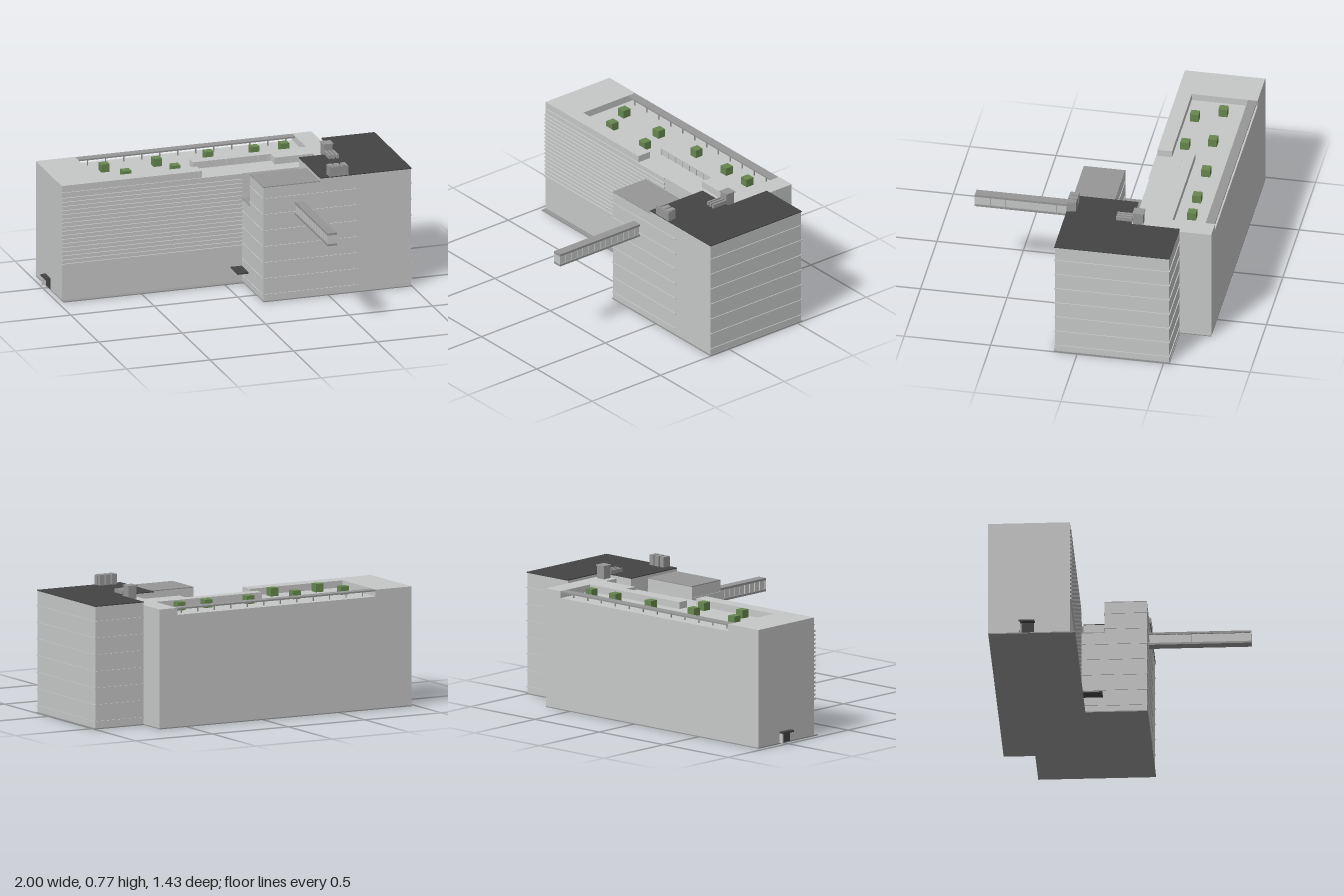
import * as THREE from 'three';

const mat = (name, color) => {
  const m = new THREE.MeshStandardMaterial({ color });
  m.name = name;
  return m;
};

export function createModel() {
  const light = mat('paleConcrete', 0xc6c8c7);
  const gray = mat('midGray', 0x979797);
  const dark = mat('darkRoofing', 0x444444);
  const green = mat('foliage', 0x67874f);
  const model = new THREE.Group();
  model.name = 'officeBuilding';

  // Box from its min and max corners
  const box = (name, m, x0, x1, y0, y1, z0, z1, parent = model) => {
    const mesh = new THREE.Mesh(new THREE.BoxGeometry(x1 - x0, y1 - y0, z1 - z0), m);
    mesh.position.set((x0 + x1) / 2, (y0 + y1) / 2, (z0 + z1) / 2);
    mesh.name = name;
    parent.add(mesh);
    return mesh;
  };
  const group = (name) => {
    const g = new THREE.Group();
    g.name = name;
    model.add(g);
    return g;
  };

  // Base plates
  const B = 0.006;
  box('slabBase', gray, -0.97, 0.68, 0, B, -0.715, -0.25);
  box('frontLedge', gray, -0.97, 0.11, 0, B, -0.25, -0.22);
  box('towerBase', gray, 0.11, 1, 0, B, -0.25, 0.135);
  box('rearTowerBase', gray, 0.68, 1, 0, B, -0.535, -0.25);

  // Long slab with a sunken roof terrace
  const F = 0.65, R = 0.69;
  box('slabBody', light, -0.97, 0.68, B, F, -0.715, -0.25);
  const rim = group('terraceRim');
  [
    [-0.97, -0.735, -0.715, -0.25],
    [-0.735, -0.13, -0.335, -0.25],
    [0.565, 0.68, -0.715, -0.25],
    [0.335, 0.565, -0.47, -0.34],
    [-0.13, 0.335, -0.47, -0.41],
  ].forEach(([x0, x1, z0, z1]) => box('rimBlock', light, x0, x1, F, R, z0, z1, rim));
  box('rearCanopy', gray, -0.735, 0.565, 0.68, R - 0.001, -0.713, -0.66);
  const posts = group('terracePosts');
  for (let i = 0; i < 12; i++) {
    const x = -0.68 + i * 0.108;
    box('canopyPost', gray, x, x + 0.006, F, 0.68, -0.668, -0.662, posts);
  }
  for (let i = 0; i < 8; i++) {
    const x = -0.125 + i * 0.064;
    if (x < 0.33) box('wallPost', light, x, x + 0.005, F, 0.685, -0.41, -0.405, posts);
  }

  // Planters on the terrace
  const planters = group('planters');
  [[-0.62, -0.54], [-0.305, -0.54], [0.01, -0.56], [0.285, -0.56], [0.465, -0.565],
    [-0.54, -0.39], [-0.245, -0.39]].forEach(([x, z]) =>
    box('planter', green, x - 0.025, x + 0.025, F, 0.697, z - 0.025, z + 0.025, planters));

  // Horizontal louvres on the slab front
  const louvres = group('louvres');
  for (let i = 0; i < 17; i++) {
    const y = 0.21 + i * 0.0247;
    box('louvre', light, -0.97, 0.11, y, y + 0.012, -0.25, -0.241, louvres);
  }
  box('frontBand', light, -0.97, 0.11, 0.645, 0.65, -0.25, -0.243);

  // Front tower: mid part, low link and dark-roofed part
  const T = 0.71;
  box('midTower', light, 0.11, 0.45, B, R - 0.005, -0.11, 0.13);
  box('midRoof', gray, 0.11, 0.45, R - 0.005, R, -0.11, 0.13);
  box('linkBody', light, 0.11, 0.45, B, 0.495, -0.25, -0.11);
  box('linkRoof', gray, 0.11, 0.45, 0.495, 0.5, -0.25, -0.11);
  box('tower', light, 0.45, 0.995, B, T - 0.005, -0.25, 0.13);
  box('towerRoof', dark, 0.45, 0.998, T - 0.005, T, -0.25, 0.133);
  box('rearTower', light, 0.68, 0.995, B, T - 0.005, -0.53, -0.25);
  box('rearTowerRoof', dark, 0.68, 0.998, T - 0.005, T, -0.533, -0.25);

  // Floor lines round the tower
  const lines = group('floorLines');
  for (let i = 0; i < 7; i++) {
    const y = 0.04 + i * 0.096, t = y + 0.006;
    box('sideLine', light, 0.995, 1, y, t, -0.535, 0.135, lines);
    box('rearLine', light, 0.68, 0.995, y, t, -0.535, -0.53, lines);
    box('frontLine', light, 0.106, 0.68, y, t, 0.13, 0.135, lines);
    box('innerLine', light, 0.106, 0.11, y, t, i > 4 ? -0.114 : -0.24, 0.13, lines);
    if (i > 4) box('backLine', light, 0.11, 0.45, y, t, -0.114, -0.11, lines);
  }

  // Footbridge with ribbed sides
  const bridge = group('footbridge');
  box('bridgeCore', light, 0.307, 0.348, 0.515, 0.567, 0.13, 0.707, bridge);
  box('bridgeFloor', gray, 0.3, 0.355, 0.503, 0.515, 0.13, 0.714, bridge);
  box('bridgeRoof', gray, 0.3, 0.355, 0.567, 0.58, 0.13, 0.714, bridge);
  box('bridgeEnd', light, 0.3, 0.355, 0.515, 0.567, 0.707, 0.714, bridge);
  for (let i = 0; i < 13; i++) {
    const z = 0.16 + i * 0.042;
    box('bridgeRib', light, 0.302, 0.353, 0.515, 0.567, z, z + 0.005, bridge);
  }

  // Rooftop plant
  const front = group('frontRoofUnit');
  [0.505, 0.545, 0.585].forEach((x) => box('unitFin', gray, x, x + 0.03, T, 0.77, 0.08, 0.13, front));
  box('unitBack', gray, 0.505, 0.62, T, 0.765, 0.105, 0.134, front);
  const rear = group('rearRoofUnit');
  box('stack', gray, 0.602, 0.655, R, 0.762, -0.315, -0.258, rear);
  box('stackCap', gray, 0.598, 0.66, 0.762, 0.768, -0.32, -0.255, rear);
  [0.602, 0.624, 0.647].forEach((x) => box('duct', gray, x, x + 0.012, T, 0.732, -0.255, -0.16, rear));

  // Entrance canopies
  box('frontCanopy', dark, 0.04, 0.106, 0.09, 0.098, -0.245, -0.12);
  box('sideCanopy', dark, -1, -0.97, 0.062, 0.072, -0.54, -0.45);
  box('sideCanopyWall', light, -0.995, -0.97, B, 0.062, -0.54, -0.532);
  box('sideDoor', dark, -0.974, -0.969, B, 0.062, -0.525, -0.455);
  return model;
}
